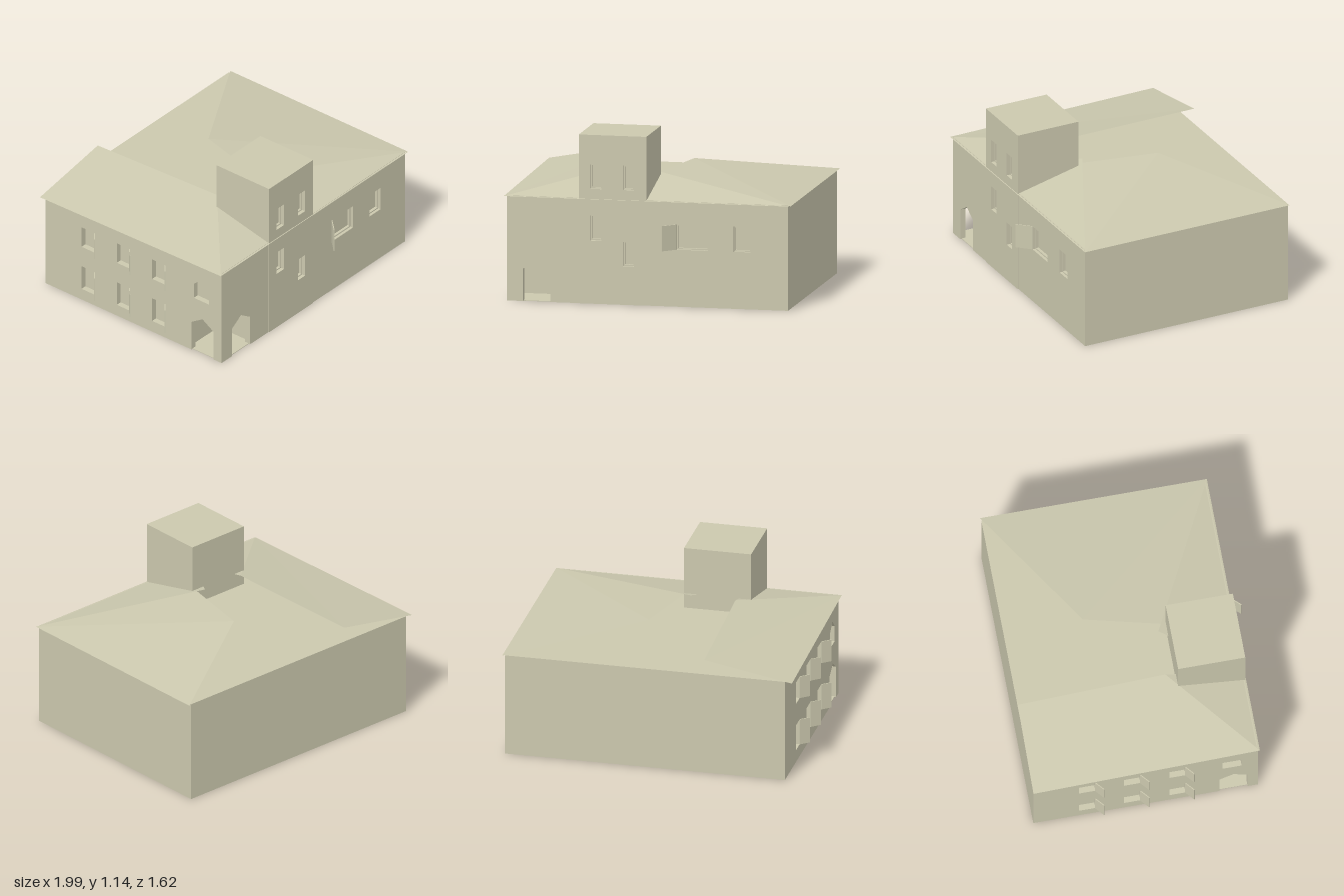
import * as THREE from 'three';

export function createModel() {
  const group = new THREE.Group();
  const stone = new THREE.MeshStandardMaterial({ color: 0xcbc8ae, side: THREE.DoubleSide });
  stone.name = 'paleStone';
  const D = 0.04; // depth of the window reveals

  const add = (name, geometry) => {
    const mesh = new THREE.Mesh(geometry, stone);
    mesh.name = name;
    group.add(mesh);
    return mesh;
  };
  // Solid block given by its limits
  const block = (name, x0, x1, y0, y1, z0, z1) =>
    add(name, new THREE.BoxGeometry(x1 - x0, y1 - y0, z1 - z0))
      .position.set((x0 + x1) / 2, (y0 + y1) / 2, (z0 + z1) / 2);
  const toVectors = (points) => points.map(([u, v]) => new THREE.Vector2(u, v));
  const rect = (u0, u1, v0, v1) => [[u0, v0], [u1, v0], [u1, v1], [u0, v1]];
  const gable = (u0, u1, v0, eave, peak) =>
    [[u0, v0], [u0, eave], [(u0 + u1) / 2, peak], [u1, eave], [u1, v0]];
  // Flat wall with openings, extruded outward
  const panel = (outline, holes, depth) => {
    const shape = new THREE.Shape(toVectors(outline));
    holes.forEach((h) => shape.holes.push(new THREE.Path(toVectors(h))));
    return new THREE.ExtrudeGeometry(shape, { depth, bevelEnabled: false });
  };
  const frontPanel = (name, outline, holes, depth, z) => {
    add(name, panel(outline, holes, depth)).position.z = z;
  };
  const sidePanel = (name, outline, holes, depth, x) => {
    const mesh = add(name, panel(outline, holes, depth));
    mesh.rotation.y = -Math.PI / 2;
    mesh.position.x = x;
  };
  // Thin upright shutter standing between two plan points
  const shutter = (name, [xa, za], [xb, zb], y0, y1) => {
    const mesh = add(name, new THREE.BoxGeometry(Math.hypot(xb - xa, zb - za), y1 - y0, 0.006));
    mesh.position.set((xa + xb) / 2, (y0 + y1) / 2, (za + zb) / 2);
    mesh.rotation.y = -Math.atan2(zb - za, xb - xa);
  };
  // Thin roof sheet from a fan of corners
  const sheet = (name, ...corners) => {
    const pos = [];
    for (let i = 1; i < corners.length - 1; i++) pos.push(...corners[0], ...corners[i], ...corners[i + 1]);
    const geometry = new THREE.BufferGeometry();
    geometry.setAttribute('position', new THREE.Float32BufferAttribute(pos, 3));
    geometry.computeVertexNormals();
    add(name, geometry);
  };

  // House core, leaving an open porch at the front corner
  block('mainBlock', -0.62, 0.975, 0, 0.71, -0.8, 0.68);
  block('sideBlock', -0.9, -0.62, 0, 0.71, -0.8, 0.43);
  block('porchCeiling', -0.9, -0.62, 0.3, 0.71, 0.43, 0.68);
  block('porchFloor', -0.93, -0.62, 0, 0.004, 0.43, 0.71);
  block('tower', -0.45, 0.01, 0.6, 1.14, 0.27, 0.685);

  // Front walls
  frontPanel('frontWallLeftOfTower',
    [[-0.94, 0], ...gable(-0.83, -0.645, 0, 0.22, 0.28), [-0.45, 0], [-0.45, 0.71], [-0.94, 0.71]],
    [], D, 0.68);
  const frontWindows = [rect(0.215, 0.43, 0.385, 0.555), rect(0.605, 0.72, 0.385, 0.555)];
  frontPanel('frontWallRightOfTower', rect(0.01, 0.975, 0, 0.71), frontWindows, D, 0.68);
  const towerWindows = [
    rect(-0.375, -0.295, 0.775, 0.94), rect(-0.15, -0.075, 0.775, 0.94),
    rect(-0.375, -0.295, 0.425, 0.595), rect(-0.15, -0.075, 0.26, 0.425),
  ];
  frontPanel('towerFrontWall', rect(-0.45, 0.01, 0, 1.14), towerWindows, D + 0.005, 0.68);

  // Window frames set back in the front openings
  [...frontWindows, ...towerWindows].forEach((w) => {
    const [[u0, v0], , [u1, v1]] = w;
    const t = 0.008;
    frontPanel('windowFrame', w, [rect(u0 + t, u1 - t, v0 + t, v1 - t)], 0.02, 0.68);
  });

  // Side wall: two rows of windows, a gabled window and the porch arch
  const sideWindows = [gable(0.48, 0.61, 0.42, 0.53, 0.59)];
  for (const [y0, y1] of [[0.085, 0.265], [0.42, 0.575]]) {
    for (const z of [-0.49, -0.185, 0.12]) {
      sideWindows.push(rect(z, z + 0.11, y0, y1));
      shutter('sideShutter', [-0.94, z + 0.11], [-0.998, z + 0.16], y0, y1);
    }
  }
  sidePanel('sideWall',
    [[-0.8, 0], ...gable(0.46, 0.65, 0, 0.22, 0.28), [0.72, 0], [0.72, 0.71], [-0.8, 0.71]],
    sideWindows, D, -0.94 + D);

  // Open shutter on the large front window
  shutter('frontShutter', [0.212, 0.72], [0.132, 0.805], 0.385, 0.555);

  // Roof sheets around the tower; the rear deck stays flat
  sheet('leftRoof', [-0.96, 0.706, 0.73], [-0.36, 0.828, 0.2], [-0.39, 0.816, -0.805], [-0.99, 0.706, -0.808]);
  sheet('frontLeftRoof', [-0.96, 0.706, 0.73], [-0.4, 0.706, 0.73], [-0.36, 0.828, 0.2]);
  sheet('frontRightRoof', [-0.4, 0.706, 0.73], [0.995, 0.706, 0.73], [-0.05, 0.828, 0.21]);
  sheet('rightRoof', [0.995, 0.708, 0.73], [0.995, 0.708, -0.805], [0.12, 0.835, -0.27], [0, 0.823, 0.235]);

  return group;
}
